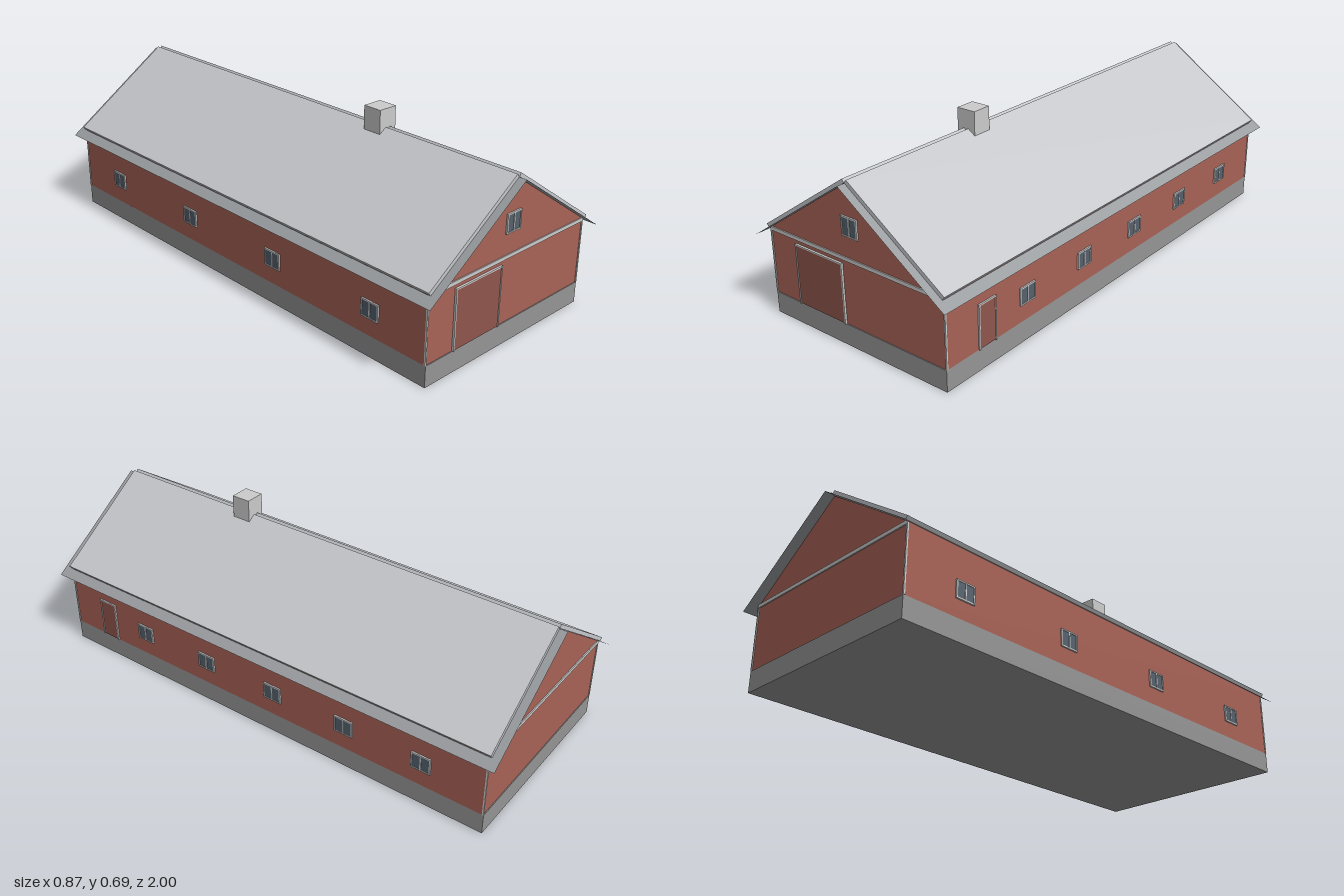
import * as THREE from 'three';

const mat = (color, side = THREE.FrontSide) => new THREE.MeshStandardMaterial({ color, side, flatShading: true });
const RED = mat(0xa86256), DOOR = mat(0x8f554c), STONE = mat(0x959595), TRIM = mat(0xcccccc);
const GLASS = mat(0x55616d), SHEET = mat(0xc5c7cb), DECK = mat(0x9a9da0, THREE.DoubleSide);

const HX = 0.402, HZ = 0.96;           // half width and half length of the walls
const BASE = 0.08, EAVE = 0.335, RIDGE = 0.604;

function box(parent, name, material, w, h, d, x, y, z) {
  const m = new THREE.Mesh(new THREE.BoxGeometry(w, h, d), material);
  m.name = name;
  m.position.set(x, y, z);
  parent.add(m);
  return m;
}

// Framed panel facing +z, centred on its own origin
function opening(name, w, h, fill, isWindow) {
  const g = new THREE.Group(), t = 0.005, d = 0.01;
  g.name = name;
  box(g, isWindow ? 'glass' : 'doorLeaf', fill, w - t, h - t, 0.006, 0, 0, 0);
  for (const s of [-1, 1]) box(g, 'frameSide', TRIM, t, h, d, s * (w - t) / 2, 0, 0);
  box(g, 'frameTop', TRIM, w - 2 * t, t, d, 0, (h - t) / 2, 0);
  if (isWindow) {
    box(g, 'frameBottom', TRIM, w - 2 * t, t, d, 0, (t - h) / 2, 0);
    box(g, 'mullion', TRIM, t, h - 2 * t, d, 0, 0, 0);
  }
  return g;
}

export function createModel() {
  const house = new THREE.Group();
  house.name = 'barn';

  // Plinth
  box(house, 'plinth', STONE, HX * 2, BASE, HZ * 2 + 0.006, 0, BASE / 2, 0);

  // Walls with gables
  const section = new THREE.Shape();
  section.moveTo(-HX, BASE);
  section.lineTo(HX, BASE);
  section.lineTo(HX, EAVE - 0.002);
  section.lineTo(0, RIDGE);
  section.lineTo(-HX, EAVE - 0.002);
  section.closePath();
  const walls = new THREE.Mesh(
    new THREE.ExtrudeGeometry(section, { depth: HZ * 2, bevelEnabled: false }).translate(0, 0, -HZ), RED);
  walls.name = 'walls';
  house.add(walls);

  // Gable bands and corner boards
  for (const sz of [-1, 1]) {
    box(house, 'gableBand', TRIM, HX * 2, 0.014, 0.008, 0, 0.328, sz * HZ);
    for (const sx of [-1, 1])
      box(house, 'cornerBoard', TRIM, 0.006, EAVE - BASE - 0.008, 0.006, sx * (HX - 0.001), (BASE + EAVE - 0.008) / 2, sz * HZ);
  }

  // Roof: thin overhanging deck with a thicker sheet on top, on each side
  const drop = RIDGE + 0.001 - 0.307, angle = Math.atan2(drop, 0.437);
  const fullLength = Math.hypot(0.437, drop), sheetLength = 0.486, thick = 0.015;
  for (const s of [-1, 1]) {
    const slope = new THREE.Group();
    slope.name = s > 0 ? 'leftRoof' : 'rightRoof';
    slope.position.y = RIDGE + 0.001;
    slope.rotation.z = -s * angle;
    const deck = new THREE.Mesh(new THREE.PlaneGeometry(fullLength, 2).rotateX(-Math.PI / 2), DECK);
    deck.name = 'roofDeck';
    deck.position.x = s * fullLength / 2;
    slope.add(deck);
    box(slope, 'roofSheet', SHEET, sheetLength, thick, 1.94, s * sheetLength / 2, thick / 2 + 0.001, 0);
    house.add(slope);
  }

  // Chimney
  box(house, 'chimney', TRIM, 0.078, 0.107, 0.078, 0, 0.6335, 0.36);

  // Front door and gable window
  const barnDoor = opening('barnDoor', 0.228, 0.227, DOOR, false);
  barnDoor.position.set(-0.161, 0.1935, HZ + 0.003);
  const gableWindow = opening('gableWindow', 0.072, 0.072, GLASS, true);
  gableWindow.position.set(0, 0.449, HZ + 0.001);
  house.add(barnDoor, gableWindow);

  // Openings along the long walls
  const onSide = (part, s, y, z) => {
    part.rotation.y = s * Math.PI / 2;
    part.position.set(s * (HX + 0.001), y, z);
    house.add(part);
  };
  onSide(opening('sideDoor', 0.084, 0.165, DOOR, false), 1, 0.1625, 0.77);
  for (let i = 0; i < 5; i++) onSide(opening('leftWindow', 0.078, 0.066, GLASS, true), 1, 0.178, 0.565 - i * 0.32);
  for (let i = 0; i < 4; i++) onSide(opening('rightWindow', 0.078, 0.066, GLASS, true), -1, 0.178, 0.72 - i * 0.48);

  return house;
}
